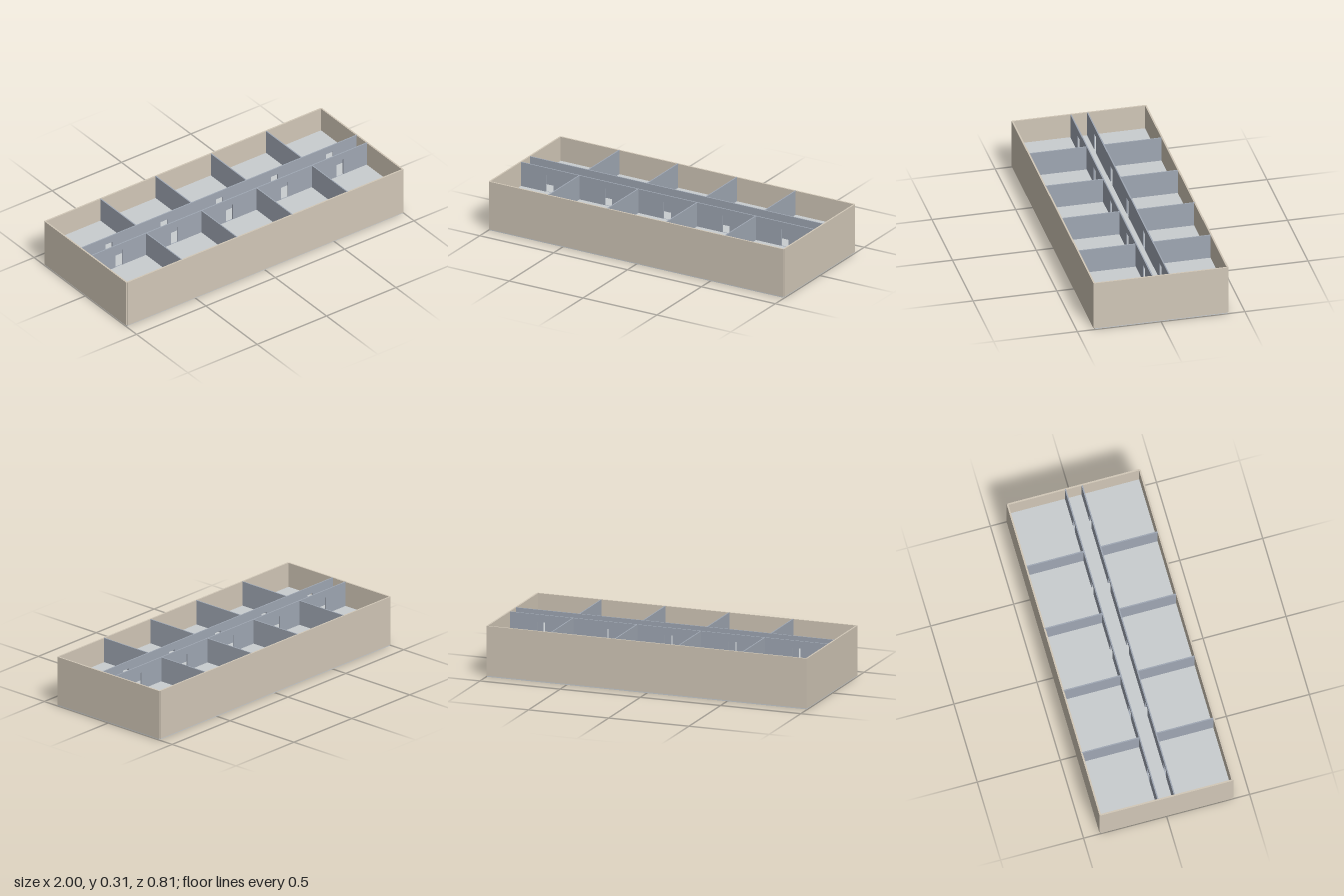
import * as THREE from 'three';

const M = 2 / 40.2; // one metre in model units
const SLAB = 0.15, STOREY = 3, OUTER = 0.2, INNER = 0.15;
const LENGTH = 40, DEPTH = 16, CORRIDOR = 1; // corridor half width
const ROOMS = 5, ROOM = LENGTH / ROOMS;

const outerMat = new THREE.MeshStandardMaterial({ color: 0xd2c8b8 });
const innerMat = new THREE.MeshStandardMaterial({ color: 0xa0a8b4 });
const floorMat = new THREE.MeshStandardMaterial({ color: 0xc9cdd0 });

// Box given by its size, its centre in plan and the height of its underside
function box(parent, name, material, w, h, d, x, y, z) {
  const mesh = new THREE.Mesh(new THREE.BoxGeometry(w, h, d), material);
  mesh.name = name;
  mesh.position.set(x, y + h / 2, z);
  parent.add(mesh);
}

// Long wall with one doorway in the middle of each room
function corridorWallGeometry() {
  const doorHalf = 0.5, doorHeight = 2.1, half = LENGTH / 2;
  const s = new THREE.Shape();
  s.moveTo(-half, 0);
  for (let i = 0; i < ROOMS; i++) {
    const x = -half + (i + 0.5) * ROOM;
    s.lineTo(x - doorHalf, 0);
    s.lineTo(x - doorHalf, doorHeight);
    s.lineTo(x + doorHalf, doorHeight);
    s.lineTo(x + doorHalf, 0);
  }
  s.lineTo(half, 0);
  s.lineTo(half, STOREY);
  s.lineTo(-half, STOREY);
  s.closePath();
  return new THREE.ExtrudeGeometry(s, { depth: INNER, bevelEnabled: false })
    .translate(0, 0, -INNER / 2);
}

function buildStorey(corridorGeo) {
  const g = new THREE.Group();

  // Floor slab, its top at the foot of the walls
  box(g, 'floorSlab', floorMat, LENGTH, SLAB, DEPTH, 0, -SLAB, 0);

  for (const side of [-1, 1]) {
    // Outer shell
    box(g, 'longOuterWall', outerMat, LENGTH, STOREY, OUTER, 0, 0, side * DEPTH / 2);
    box(g, 'endOuterWall', outerMat, OUTER, STOREY, DEPTH, side * LENGTH / 2, 0, 0);

    // Corridor wall with doorways
    const wall = new THREE.Mesh(corridorGeo, innerMat);
    wall.name = 'corridorWall';
    wall.position.z = side * CORRIDOR;
    g.add(wall);

    // Partitions between the rooms
    const len = DEPTH / 2 - CORRIDOR;
    for (let i = 1; i < ROOMS; i++) {
      box(g, 'roomPartition', innerMat, INNER, STOREY, len,
        -LENGTH / 2 + i * ROOM, 0, side * (CORRIDOR + len / 2));
    }
  }
  return g;
}

export function createModel() {
  const model = new THREE.Group();
  model.name = 'building';
  const corridorGeo = corridorWallGeometry();
  ['groundStorey', 'upperStorey'].forEach((name, i) => {
    const storey = buildStorey(corridorGeo);
    storey.name = name;
    storey.position.y = (SLAB + i * STOREY) * M;
    storey.scale.setScalar(M);
    model.add(storey);
  });
  return model;
}
